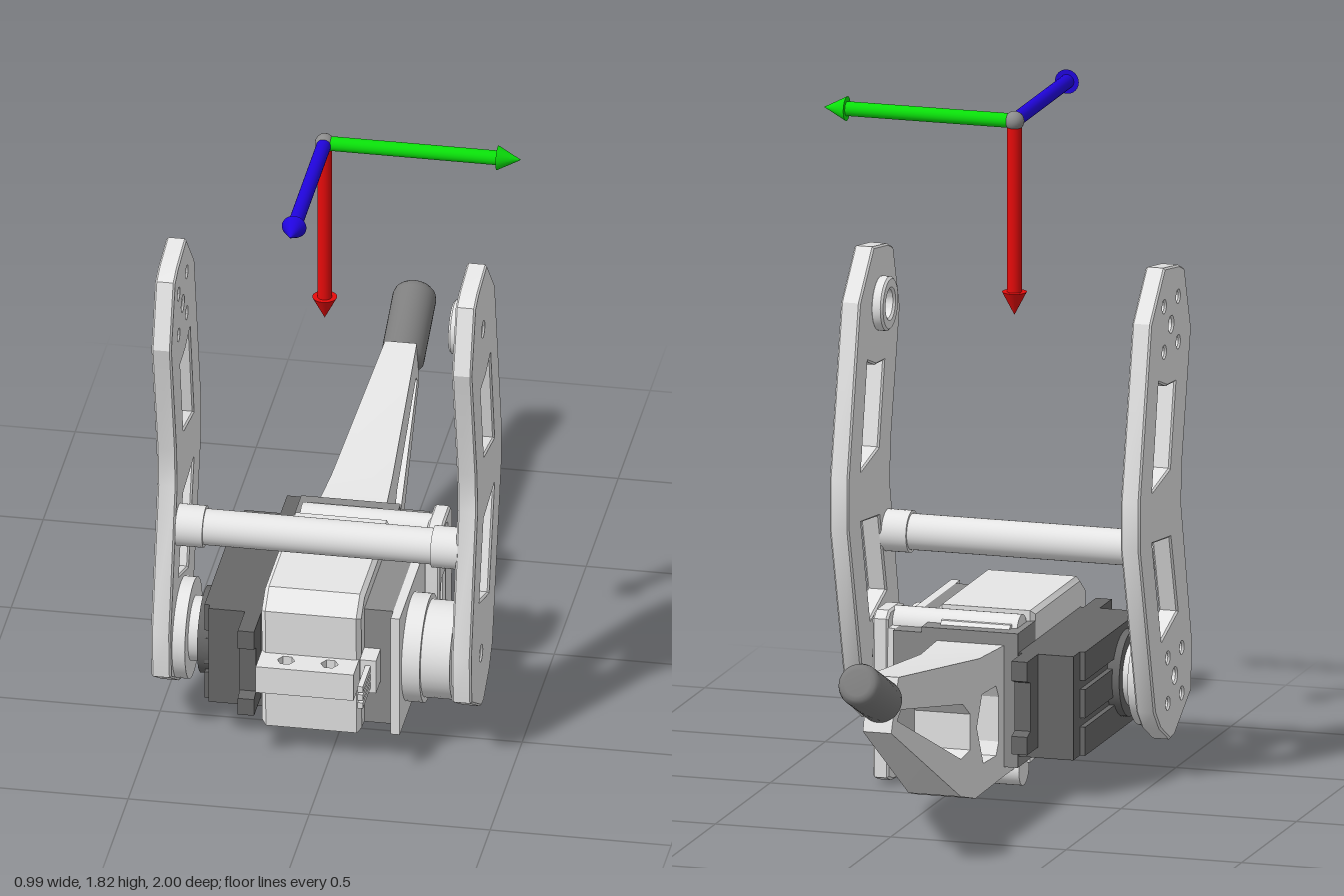
import * as THREE from 'three';
import { toCreasedNormals } from 'three/addons/utils/BufferGeometryUtils.js';

const mat = (name, color) => Object.assign(new THREE.MeshStandardMaterial({ color }), { name });

export function createModel() {
  const light = mat('light grey', 0xe6e6e6);
  const mid = mat('mid grey', 0x8c8c8c);
  const dark = mat('dark grey', 0x686868);
  const handleGrey = mat('handle grey', 0x7e7e7e);
  const red = mat('red', 0xe60a0a);
  const green = mat('green', 0x0ae00a);
  const blue = mat('blue', 0x2004dc);

  const model = new THREE.Group();
  const add = (name, geo, m, x = 0, y = 0, z = 0, parent = model) => {
    const mesh = new THREE.Mesh(geo, m);
    mesh.name = name;
    mesh.position.set(x, y, z);
    parent.add(mesh);
    return mesh;
  };
  // box given by its two corners
  const box = (name, m, x0, x1, y0, y1, z0, z1) =>
    add(name, new THREE.BoxGeometry(x1 - x0, y1 - y0, z1 - z0), m, (x0 + x1) / 2, (y0 + y1) / 2, (z0 + z1) / 2);
  // cylinder along x
  const rod = (name, m, x0, x1, y, z, r, sides = 32) =>
    add(name, new THREE.CylinderGeometry(r, r, x1 - x0, sides).rotateZ(Math.PI / 2), m, (x0 + x1) / 2, y, z);
  // [z, y] outline extruded along x
  const circle = (z, y, r, n = 16) => Array.from({ length: n }, (_, i) => {
    const a = (i / n) * Math.PI * 2;
    return [z + r * Math.cos(a), y + r * Math.sin(a)];
  });
  const path = (pts) => pts.map((p) => new THREE.Vector2(p[0], p[1]));
  const slab = (outline, holes, x0, x1, bevel = 0) => {
    const shape = new THREE.Shape(path(outline));
    shape.holes = holes.map((h) => new THREE.Path(path(h)));
    const geo = new THREE.ExtrudeGeometry(shape, {
      depth: x1 - x0 - 2 * bevel, bevelEnabled: bevel > 0, bevelSize: bevel,
      bevelThickness: bevel, bevelOffset: -bevel, bevelSegments: 1,
    });
    geo.translate(0, 0, bevel).rotateY(-Math.PI / 2).translate(x1, 0, 0);
    return toCreasedNormals(geo, 0.5);
  };

  // side plates with two windows
  const outline = [[0.64, 1.2], [0.58, 1.38], [0.53, 1.4], [0.4, 1.42], [0.275, 1.29], [0.17, 0.815], [0.17, 0.68],
    [0.31, 0.195], [0.36, 0.14], [0.45, 0.09], [0.49, 0.095], [0.64, 0.185], [0.65, 0.32], [0.55, 0.73], [0.56, 0.85]];
  const windows = [
    [[0.495, 1.08], [0.42, 1.085], [0.345, 1.112], [0.285, 0.82], [0.445, 0.85]],
    [[0.45, 0.655], [0.285, 0.675], [0.37, 0.385], [0.515, 0.435]],
  ];
  const pivots = [[0.457, 1.25], [0.49, 0.26]];
  const centreHoles = pivots.map(([z, y]) => circle(z, y, 0.02));
  const boltHoles = pivots.flatMap(([z, y]) => [0, 1, 2, 3].map((i) => {
    const a = Math.PI / 4 + (i * Math.PI) / 2;
    return circle(z + 0.09 * Math.cos(a), y + 0.09 * Math.sin(a), 0.015, 12);
  }));
  add('leftSidePlate', slab(outline, [...windows, ...centreHoles], 0.33, 0.385, 0.005), light);
  add('rightSidePlate', slab(outline, [...windows, ...centreHoles, ...boltHoles], -0.5, -0.445, 0.005), light);
  add('pivotRing', slab(circle(0.457, 1.25, 0.075, 32), [circle(0.457, 1.25, 0.04, 24)], 0.3, 0.335, 0.006), light);

  // bar joining the side plates
  rod('crossBar', light, -0.44, 0.33, 0.6, 0.525, 0.05);
  rod('crossBarRightCollar', light, -0.445, -0.37, 0.6, 0.525, 0.058);
  rod('crossBarLeftCollar', light, 0.26, 0.335, 0.6, 0.525, 0.058);

  // motor housing
  add('motorBody', slab([[0.67, 0.08], [0.68, 0.44], [0.62, 0.485], [0.2, 0.485], [0.2, 0.06]], [], -0.19, 0.085, 0.012), light);
  box('motorRear', mid, -0.19, 0.085, 0.08, 0.455, 0.05, 0.21);
  box('motorCore', mid, 0.07, 0.165, 0.09, 0.44, 0.05, 0.62);
  box('motorSidePlate', light, 0.165, 0.19, 0.08, 0.44, 0.07, 0.66);
  box('motorFrontStep', light, -0.18, 0.07, 0.22, 0.235, 0.67, 0.69);
  box('gearCase', dark, -0.345, -0.18, 0.11, 0.4, 0.06, 0.62);
  for (const y of [0.15, 0.255, 0.36]) box('gearCaseRib', dark, -0.36, -0.34, y - 0.04, y + 0.04, 0.12, 0.6);
  // flange with slotted ears at both ends
  add('mountingFlange', slab(
    [[0.73, 0.14], [0.73, 0.19], [0.7, 0.2], [0.7, 0.335], [0.73, 0.345], [0.73, 0.4],
      [-0.04, 0.4], [-0.04, 0.345], [-0.01, 0.335], [-0.01, 0.2], [-0.04, 0.19], [-0.04, 0.14]],
    [], -0.245, -0.2), dark);

  // front connector block with two hexagonal holes
  const tab = new THREE.Shape(path([[-0.19, -0.76], [0.08, -0.76], [0.08, -0.66], [-0.19, -0.66]]));
  tab.holes = [-0.115, 0.005].map((x) => new THREE.Path(path(circle(x, -0.71, 0.024, 6))));
  add('connectorBlock', new THREE.ExtrudeGeometry(tab, { depth: 0.08, bevelEnabled: false }).rotateX(-Math.PI / 2), light, 0, 0.23, 0);
  box('plugSocket', light, 0.085, 0.13, 0.22, 0.32, 0.6, 0.69);
  for (const y of [0.245, 0.27, 0.295]) box('plugPin', light, 0.1, 0.115, y - 0.009, y + 0.009, 0.68, 0.81);

  // drive horn and idler
  rod('driveHub', dark, -0.38, -0.34, 0.26, 0.485, 0.12);
  rod('driveShaft', light, -0.42, -0.37, 0.26, 0.485, 0.09);
  rod('driveHorn', light, -0.445, -0.41, 0.26, 0.485, 0.14);
  rod('idlerHub', light, 0.18, 0.24, 0.26, 0.485, 0.15);
  rod('idlerHorn', light, 0.235, 0.32, 0.26, 0.485, 0.135);
  rod('idlerFlange', light, 0.3, 0.335, 0.26, 0.485, 0.1);

  // side bracket and its two tie bars
  add('sideBracket', slab(
    [[0.07, 0.02], [0.11, 0.005], [0.17, 0], [0.22, 0.005], [0.25, 0.03], [0.265, 0.08], [0.265, 0.42], [0.22, 0.475],
      [0.18, 0.485], [0.09, 0.485], [0.065, 0.465]],
    [[[0.18, 0.17], [0.24, 0.19], [0.25, 0.27], [0.23, 0.33], [0.18, 0.33]], circle(0.157, 0.44, 0.022), circle(0.172, 0.05, 0.022)],
    0.185, 0.23, 0.006), light);
  for (const y of [0.355, 0.125]) rod('bracketScrew', dark, 0.22, 0.234, y, 0.097, 0.014, 12);
  rod('upperTieBar', light, -0.17, 0.19, 0.44, 0.15, 0.045);
  rod('lowerTieBar', light, -0.17, 0.19, 0.05, 0.17, 0.047);

  // tapered arm: its width shrinks towards the handle
  const arm = slab(
    [[0.21, 0.465], [0.1, 0.465], [0.05, 0.42], [-0.135, 0.425], [-0.745, 0.51], [-0.8, 0.365], [-0.275, 0.07], [-0.165, 0.04], [0.06, 0.055], [0.2, 0.06]],
    [[[-0.205, 0.285], [-0.26, 0.325], [-0.725, 0.415], [-0.755, 0.39], [-0.275, 0.175], [-0.205, 0.185]],
      [[-0.01, 0.32], [-0.115, 0.32], [-0.155, 0.235], [-0.105, 0.125], [-0.01, 0.125], [0.01, 0.16], [0.01, 0.285]]],
    -1, 1);
  const p = arm.attributes.position;
  for (let i = 0; i < p.count; i++) p.setX(i, -0.055 + p.getX(i) * (0.043 + (p.getZ(i) + 0.76) * 0.065));
  add('arm', toCreasedNormals(arm, 0.4), light);

  // rounded grip on the end of the arm
  const grip = add('handle', new THREE.LatheGeometry(
    path([[0, 0], [0.06, 0], [0.06, 0.21], [0.056, 0.225], [0.048, 0.234], [0.036, 0.238], [0, 0.238]]), 32), handleGrey, -0.055, 0.445, -0.765);
  grip.quaternion.setFromUnitVectors(new THREE.Vector3(0, 1, 0), new THREE.Vector3(0, 0.42, -0.907).normalize());

  // three direction arrows above the mechanism
  const arrows = new THREE.Group();
  arrows.name = 'directionArrows';
  arrows.position.set(-0.053, 1.787, 0.457);
  model.add(arrows);
  const arrow = (name, m, dir) => {
    const g = new THREE.Group();
    g.name = name;
    add(name + 'Shaft', new THREE.CylinderGeometry(0.02, 0.02, 0.48, 24), m, 0, 0.24, 0, g);
    add(name + 'Tip', new THREE.ConeGeometry(0.034, 0.065, 24), m, 0, 0.51, 0, g);
    g.quaternion.setFromUnitVectors(new THREE.Vector3(0, 1, 0), dir);
    arrows.add(g);
  };
  arrow('downArrow', red, new THREE.Vector3(0, -1, 0));
  arrow('leftArrow', green, new THREE.Vector3(1, 0, 0));
  arrow('frontArrow', blue, new THREE.Vector3(0, 0, 1));
  add('arrowHub', new THREE.SphereGeometry(0.027, 24, 16), mid, 0, 0, 0, arrows);

  return model;
}
